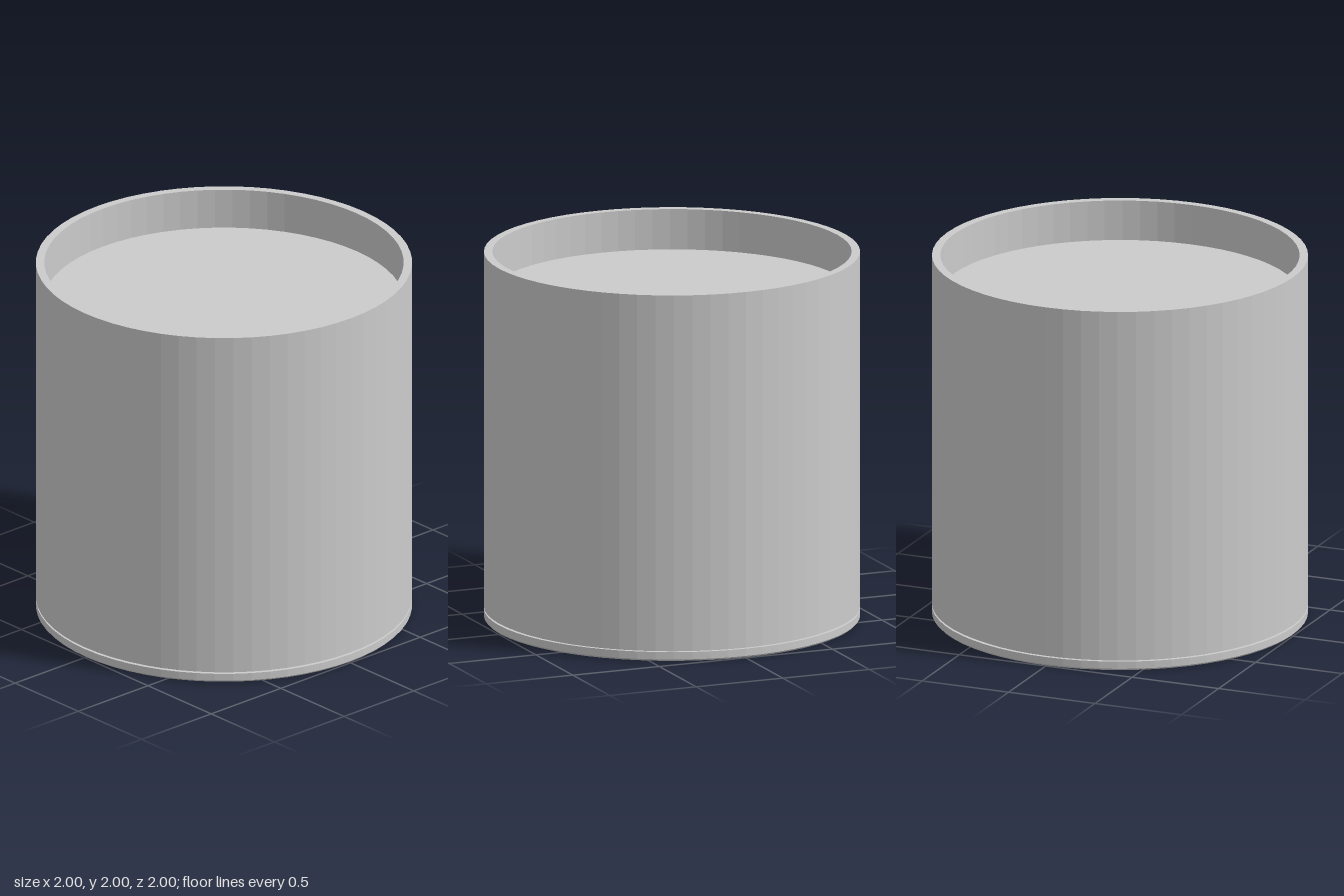
import * as THREE from 'three';

const SEGMENTS = 64;

// Revolved part; profile runs up the outside and down the inside
function turned(name, profile, color = 0xcccccc, flatShading = true) {
  const points = profile.map(([r, y]) => new THREE.Vector2(r, y));
  const material = new THREE.MeshStandardMaterial({ color, flatShading });
  const mesh = new THREE.Mesh(new THREE.LatheGeometry(points, SEGMENTS), material);
  mesh.name = name;
  return mesh;
}

export function createModel() {
  const group = new THREE.Group();
  group.name = 'surfaceDownlight';

  // Cylindrical shell with a recessed top plate
  group.add(turned('housing', [
    [0.98, 0.06], [1, 0.06], [1, 2], [0.955, 2], [0.955, 1.78], [0, 1.78],
  ]));

  // Bottom ring with a small chamfer and the shadow gap above it
  group.add(turned('trimRing', [
    [0.955, 0.015], [0.96, 0], [0.99, 0], [1, 0.01], [1, 0.05], [0.98, 0.05], [0.98, 0.06],
  ]));

  // Dark conical reflector
  group.add(turned('reflector', [[0.57, 0.33], [0.955, 0.015]], 0x2c2c2c, false));

  // Flat light panel, facing down
  group.add(turned('diffuser', [[0, 0.33], [0.57, 0.33]]));

  return group;
}
